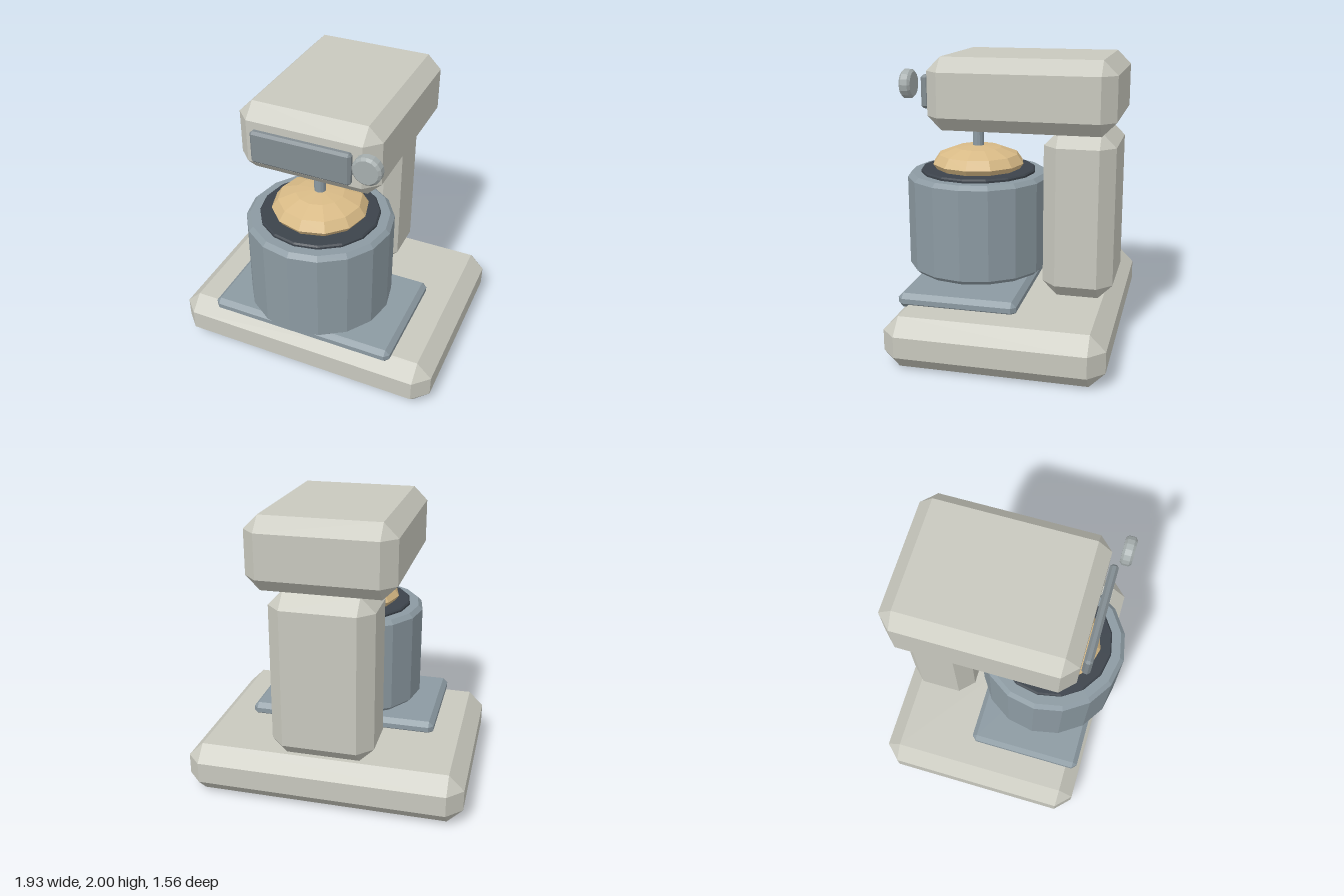
import * as THREE from 'three';
import { ConvexGeometry } from 'three/addons/geometries/ConvexGeometry.js';

const paint = (color) => new THREE.MeshStandardMaterial({ color, flatShading: true });
const BODY = paint(0xc8c8be), STEEL = paint(0x8c9aa2), PANEL = paint(0x828c91);
const KNOB = paint(0xa6aeae), DARK = paint(0x3c434b), DOUGH = paint(0xd8ba86);

// Box given by its min and max corners, with every edge and corner cut by c
function chamferBox(min, max, c) {
  const points = [];
  for (const sx of [0, 1]) for (const sy of [0, 1]) for (const sz of [0, 1]) {
    const corner = [sx, sy, sz].map((s, i) => (s ? max[i] : min[i]));
    const inset = [sx, sy, sz].map((s, i) => (s ? max[i] - c : min[i] + c));
    // each corner becomes a small triangle: one point on each face
    for (let k = 0; k < 3; k++) {
      points.push(new THREE.Vector3(...inset.map((v, i) => (i === k ? corner[i] : v))));
    }
  }
  return new ConvexGeometry(points);
}

// Closed cylinder from y0 to y1 with chamfered rims
function chamferCylinder(radius, y0, y1, c, sides) {
  const profile = [
    [0, y0], [radius - c, y0], [radius, y0 + c],
    [radius, y1 - c], [radius - c, y1], [0, y1],
  ].map(([r, y]) => new THREE.Vector2(r, y));
  return new THREE.LatheGeometry(profile, sides);
}

export function createModel() {
  const model = new THREE.Group();
  model.name = 'standMixer';
  const add = (name, geometry, material, x = 0, y = 0, z = 0) => {
    const mesh = new THREE.Mesh(geometry, material);
    mesh.name = name;
    mesh.position.set(x, y, z);
    model.add(mesh);
    return mesh;
  };
  const bowlZ = 0.272;

  // Housing
  add('base', chamferBox([-0.965, 0, -0.783], [0.965, 0.355, 0.692], 0.105), BODY);
  add('column', chamferBox([-0.353, 0.355, -0.743], [0.353, 1.515, -0.255], 0.1), BODY);
  add('head', chamferBox([-0.49, 1.513, -0.755], [0.49, 2, 0.51], 0.095), BODY);
  add('tray', chamferBox([-0.675, 0.33, -0.157], [0.675, 0.43, 0.665], 0.033), STEEL);

  // Bowl and its contents
  add('bowl', chamferCylinder(0.507, 0.46, 1.16, 0.03, 16), STEEL, 0, 0, bowlZ);
  add('bowlRim', chamferCylinder(0.412, 1.15, 1.184, 0.01, 16), DARK, 0, 0, bowlZ);
  add('dough', new THREE.SphereGeometry(0.33, 12, 6), DOUGH, 0, 1.222, bowlZ).scale.y = 0.385;
  add('mixingShaft', new THREE.CylinderGeometry(0.04, 0.04, 0.25, 12), STEEL, 0, 1.405, bowlZ);

  // Controls
  add('displayPanel', chamferBox([-0.342, 1.645, 0.518], [0.342, 1.87, 0.575], 0.017), PANEL);
  const knob = add('knob', chamferCylinder(0.096, -0.038, 0.038, 0.016, 16), KNOB, 0.471, 1.828, 0.607);
  knob.rotation.x = Math.PI / 2;

  return model;
}
